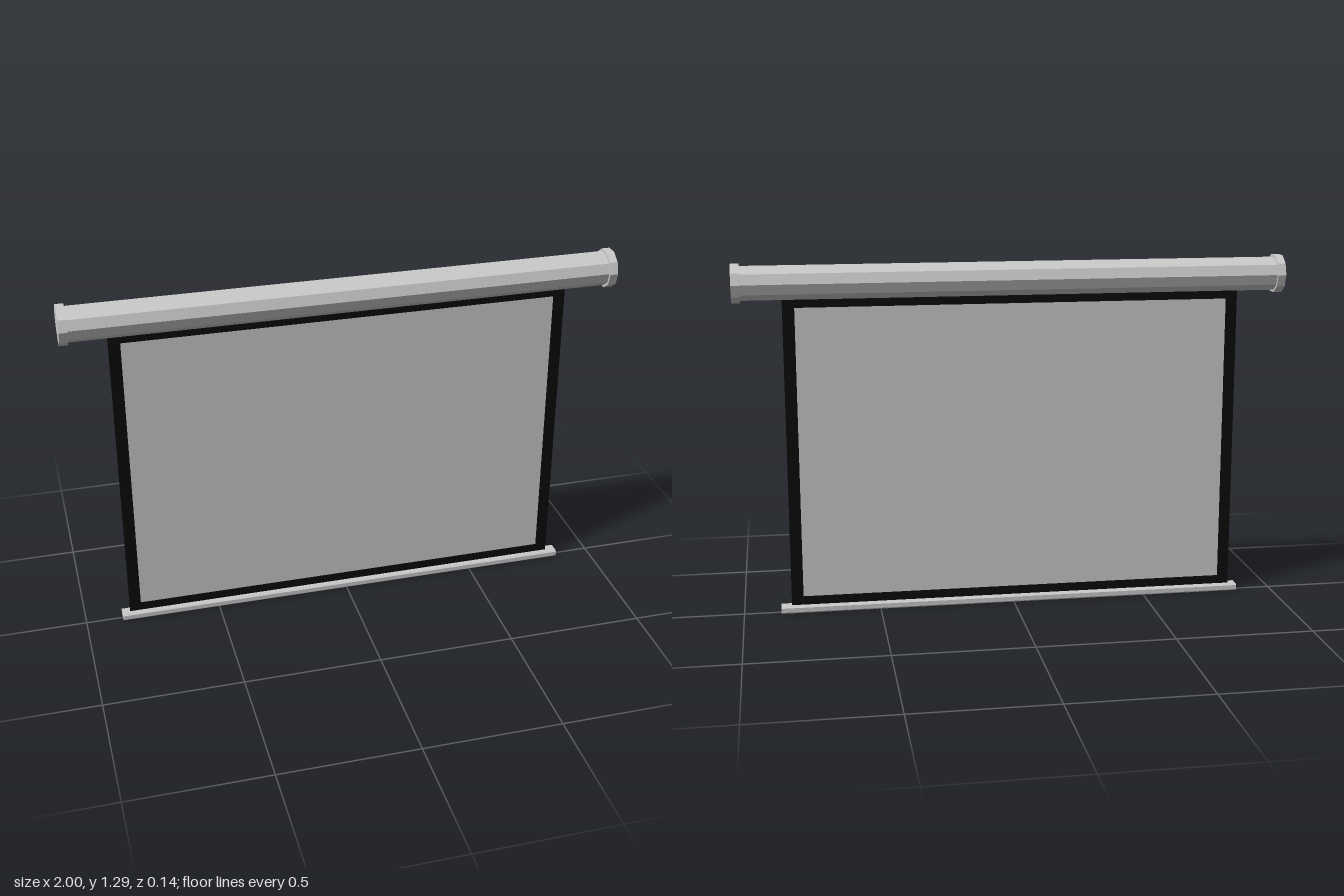
import * as THREE from 'three';

const grey = new THREE.MeshStandardMaterial({ color: 0xcccccc, flatShading: true });
const black = new THREE.MeshStandardMaterial({ color: 0x0a0a0a, flatShading: true });

const TUBE_Y = 1.218;

function add(parent, name, geometry, material, x = 0, y = 0, z = 0) {
  const mesh = new THREE.Mesh(geometry, material);
  mesh.name = name;
  mesh.position.set(x, y, z);
  parent.add(mesh);
  return mesh;
}

// Ten-sided cylinder along x, flat on top, corners pointing to +z and -z
function decagon(radius, length) {
  return new THREE.CylinderGeometry(radius, radius, length, 10).rotateZ(Math.PI / 2);
}

function rectangle(path, x0, y0, x1, y1) {
  path.moveTo(x0, y0);
  path.lineTo(x1, y0);
  path.lineTo(x1, y1);
  path.lineTo(x0, y1);
  path.closePath();
  return path;
}

export function createModel() {
  const model = new THREE.Group();
  model.name = 'projectionScreen';

  // Roller housing and its end caps
  add(model, 'housing', decagon(0.062, 1.95), grey, 0, TUBE_Y);
  for (const [side, name] of [[1, 'leftEndCap'], [-1, 'rightEndCap']]) {
    add(model, name, decagon(0.071, 0.03), grey, side * 0.985, TUBE_Y);
  }

  // Black border around the fabric
  const border = rectangle(new THREE.Shape(), -0.836, 0.015, 0.826, 1.18);
  border.holes.push(rectangle(new THREE.Path(), -0.794, 0.058, 0.783, 1.128));
  const borderGeometry = new THREE.ExtrudeGeometry(border, { depth: 0.008, bevelEnabled: false });
  add(model, 'border', borderGeometry, black, 0, 0, -0.004);

  // Projection fabric, slightly thinner than the border
  add(model, 'fabric', new THREE.BoxGeometry(1.577, 1.07, 0.006), grey, -0.0055, 0.593);

  // Weight bar with chamfered long edges; the section is drawn in z and y
  const w = 0.025, h = 0.026, c = 0.005;
  const section = new THREE.Shape([
    [-w + c, 0], [w - c, 0], [w, c], [w, h - c],
    [w - c, h], [-w + c, h], [-w, h - c], [-w, c],
  ].map(([z, y]) => new THREE.Vector2(z, y)));
  const barGeometry = new THREE.ExtrudeGeometry(section, { depth: 1.73, bevelEnabled: false });
  barGeometry.translate(0, 0, -0.865).rotateY(Math.PI / 2);
  add(model, 'weightBar', barGeometry, grey);

  return model;
}
